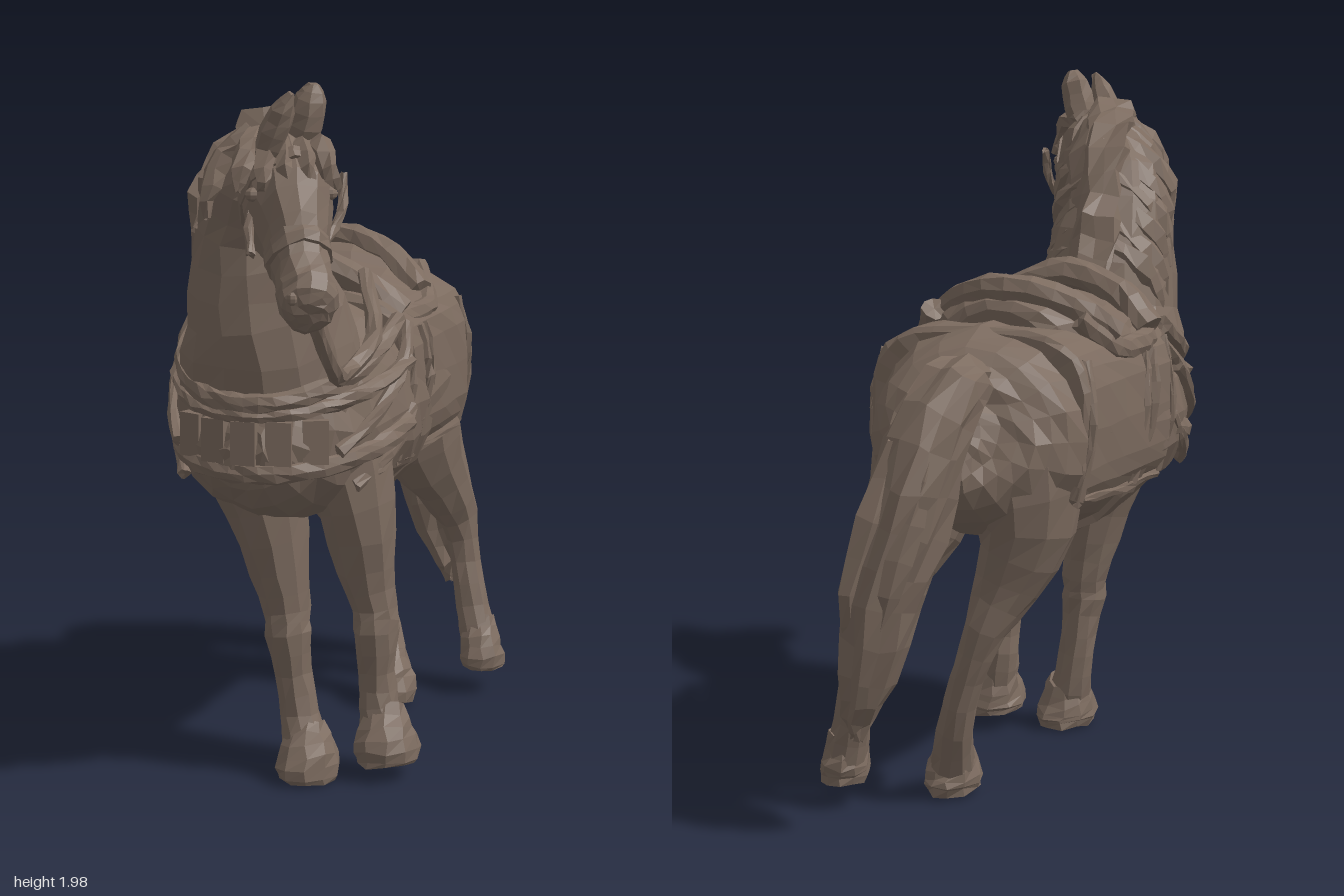
import * as THREE from 'three';

const V = (p) => new THREE.Vector3(...p);
const X = [1, 0, 0], Y = [0, 1, 0];

export function createModel() {
  const model = new THREE.Group();
  const clay = new THREE.MeshStandardMaterial({ color: 0x7c6b5f });
  let seed = 7;
  const rand = () => (seed = (seed * 16807) % 2147483647) / 2147483647 - 0.5;

  function add(name, geometry) {
    const flat = geometry.index ? geometry.toNonIndexed() : geometry;
    flat.computeVertexNormals();
    const mesh = new THREE.Mesh(flat, clay);
    mesh.name = name;
    model.add(mesh);
    return mesh;
  }

  // Closed skin through rings [x, y, z, halfWidth, halfDepth]; width lies along `side`.
  function loft(name, rings, { side = X, sides = 12, step = 2, rough = 0.008, power = 1, ridges = 0 } = {}) {
    const path = new THREE.CatmullRomCurve3(rings.map((r) => V(r.slice(0, 3))));
    const size = new THREE.CatmullRomCurve3(rings.map((r) => new THREE.Vector3(r[3], r[4], 0)));
    const n = (rings.length - 1) * step, pos = [], idx = [];
    const pw = (v) => Math.sign(v) * Math.abs(v) ** power;
    for (let i = 0; i <= n; i++) {
      const c = path.getPoint(i / n), s = size.getPoint(i / n), t = path.getTangent(i / n);
      const S = V(side).addScaledVector(t, -V(side).dot(t)).normalize();
      const U = t.clone().cross(S);
      for (let j = 0; j < sides; j++) {
        const a = (j / sides) * Math.PI * 2;
        const k = 1 + (j % 2 ? -ridges : ridges);
        const p = c.clone().addScaledVector(S, s.x * k * pw(Math.cos(a)) + rand() * rough)
          .addScaledVector(U, s.y * k * pw(Math.sin(a)) + rand() * rough)
          .addScaledVector(t, rand() * rough);
        pos.push(p.x, p.y, p.z);
        const b = i * sides + j, d = i * sides + ((j + 1) % sides);
        if (i < n) idx.push(b, d, d + sides, b, d + sides, b + sides);
      }
    }
    const first = pos.length / 3, last = n * sides;
    pos.push(...path.getPoint(0).toArray(), ...path.getPoint(1).toArray());
    for (let j = 0; j < sides; j++) {
      const k = (j + 1) % sides;
      idx.push(first, k, j, first + 1, last + j, last + k);
    }
    const g = new THREE.BufferGeometry();
    g.setAttribute('position', new THREE.Float32BufferAttribute(pos, 3));
    g.setIndex(idx);
    return add(name, g);
  }
  // Band of constant section along points.
  const band = (name, pts, a, b, side = Y) =>
    loft(name, pts.map((p) => [...p, a, b]), { side, sides: 8, step: 3, rough: 0.009 });
  const ball = (name, p, r, scale) => {
    const m = add(name, new THREE.SphereGeometry(r, 8, 6));
    m.position.set(...p);
    m.scale.set(...scale);
  };

  // Torso, neck and head
  loft('torso', [
    [-.08, 1.1, -.69, .07, .09], [-.065, 1.09, -.665, .17, .16], [-.05, 1.07, -.59, .26, .24],
    [-.045, 1.06, -.45, .32, .29], [-.035, 1.055, -.2, .335, .305], [-.03, 1.035, 0, .34, .33],
    [-.03, 1.04, .2, .335, .31], [-.02, 1.02, .4, .29, .28], [-.02, 1.03, .52, .215, .22],
    [-.02, 1.05, .585, .13, .14], [-.02, 1.06, .605, .05, .06]], { sides: 20, rough: 0.014 });
  loft('neck', [
    [-.03, 1.05, .35, .28, .25], [-.03, 1.25, .4, .245, .24], [-.045, 1.42, .43, .195, .21],
    [-.05, 1.58, .47, .165, .165], [0, 1.72, .54, .14, .15], [.04, 1.83, .6, .08, .08]], { sides: 14, rough: 0.014 });
  const across = [.86, 0, -.5];
  loft('head', [
    [.06, 1.78, .58, .08, .1], [.1, 1.72, .66, .115, .165], [.14, 1.65, .725, .115, .17],
    [.185, 1.58, .8, .09, .125], [.225, 1.51, .865, .074, .088], [.255, 1.46, .905, .08, .09],
    [.272, 1.43, .945, .07, .076], [.28, 1.42, .965, .035, .035]], { side: across, rough: 0.01 });
  loft('noseband', [[.195, 1.56, .82, .09, .115], [.212, 1.53, .845, .086, .105]], { side: across });
  loft('browband', [[.112, 1.7, .68, .125, .18], [.127, 1.675, .7, .125, .182]], { side: across });
  for (const s of [-1, 1]) {
    const at = (d, y, z) => [.165 + s * d * .86, y, z - s * d * .5];
    ball('eye', at(.1, 1.7, .77), .024, [1, .8, 1]);
    ball('nostril', [.28 + s * .04, 1.46, .955 - s * .023], .016, [1, 1.2, 1]);
    band('cheekStrap', [at(.11, 1.74, .68), at(.12, 1.64, .74), at(.09, 1.55, .82)], .012, .014, X);
  }
  const earSide = { side: across, sides: 7, rough: .006 };
  loft('leftEar', [[.15, 1.8, .68, .04, .045], [.175, 1.87, .695, .05, .055], [.195, 1.94, .7, .042, .046], [.205, 1.98, .705, .014, .016]], earSide);
  loft('rightEar', [[.1, 1.79, .8, .03, .035], [.13, 1.86, .81, .04, .042], [.16, 1.92, .82, .033, .034], [.185, 1.965, .83, .01, .011]], earSide);

  // Mane: crest, hanging locks and forelock
  const crest = [[.04, 1.85, .62], [0, 1.83, .53], [-.03, 1.75, .42], [-.05, 1.62, .345], [-.06, 1.5, .275], [-.06, 1.39, .19]];
  loft('maneCrest', crest.map((p, i) => [...p, .075, i === 5 ? .02 : .055]), { sides: 10, rough: .025, ridges: .08 });
  const crestLine = new THREE.CatmullRomCurve3(crest.map(V));
  for (const s of [-1, 1]) for (let i = 0; i < 9; i++) {
    const p = crestLine.getPoint(.02 + i * .095), l = .2 + rand() * .06, w = i < 3 ? .12 : .155;
    loft('maneLock', [
      [p.x + s * .03, p.y, p.z, .03, .035], [p.x + s * w * .85, p.y - l * .35, p.z + .03, .03, .045],
      [p.x + s * w * 1.08, p.y - l * .75, p.z + .07, .026, .04], [p.x + s * w * 1.1, p.y - l * 1.15, p.z + .08, .008, .01]],
    { sides: 6, rough: .014 });
  }
  for (let i = 0; i < 5; i++) {
    const d = (i - 2) * .04;
    loft('forelock', [
      [.09 + d * .5, 1.84, .66 - d * .3, .03, .03], [.14 + d, 1.82, .76 - d * .5, .032, .032],
      [.165 + d * 1.25, 1.765, .82 - d * .7, .026, .026], [.175 + d * 1.4, 1.715, .825 - d * .8, .01, .01]],
    { sides: 6, rough: .014 });
  }

  // Legs, ending at the fetlocks
  loft('rightFrontLeg', [
    [-.09, .95, .4, .15, .15], [-.045, .78, .385, .115, .13], [-.01, .6, .375, .085, .095], [.008, .48, .37, .066, .075],
    [.014, .42, .375, .066, .075], [.028, .3, .365, .052, .06], [.045, .18, .365, .058, .062], [.07, .08, .385, .07, .07]], { sides: 10 });
  loft('leftFrontLeg', [
    [.14, .95, .3, .15, .16], [.19, .78, .295, .11, .13], [.212, .6, .28, .085, .095], [.235, .48, .27, .066, .075],
    [.24, .42, .275, .066, .078], [.242, .3, .27, .054, .06], [.25, .2, .27, .06, .062], [.275, .12, .285, .07, .07]], { sides: 10 });
  loft('rightHindLeg', [
    [-.16, 1, -.44, .17, .21], [-.175, .8, -.43, .13, .17], [-.125, .64, -.46, .088, .105], [-.08, .52, -.505, .06, .07],
    [-.03, .38, -.51, .047, .055], [.025, .22, -.485, .05, .055], [.06, .1, -.43, .06, .065]], { sides: 10 });
  loft('leftHindLeg', [
    [.09, 1, -.47, .17, .2], [.125, .8, -.525, .13, .15], [.175, .66, -.6, .088, .1], [.21, .54, -.66, .06, .07],
    [.235, .4, -.665, .047, .052], [.26, .26, -.65, .05, .052], [.29, .15, -.63, .06, .06]], { sides: 10 });
  // Hooves: sole centre, half width, half length
  const hoof = (name, x, y, z, a, b) => loft(name, [
    [x - .015, y + .15, z - .03, a * .6, b * .5], [x - .008, y + .09, z - .01, a * .85, b * .8],
    [x, y + .035, z, a, b], [x, y, z, a * .85, b * .9]], { sides: 10, rough: .012 });
  hoof('rightFrontHoof', .08, .008, .39, .092, .112);
  hoof('leftFrontHoof', .28, .05, .295, .095, .108);
  hoof('rightHindHoof', .075, .015, -.395, .08, .105);
  hoof('leftHindHoof', .3, .08, -.62, .072, .082);

  // Tail
  loft('tail', [
    [-.09, 1.24, -.61, .07, .06], [-.085, 1.215, -.71, .09, .09], [-.045, 1.07, -.8, .11, .1], [0, .86, -.84, .115, .115],
    [.05, .66, -.86, .1, .115], [.09, .46, -.875, .075, .085], [.12, .34, -.87, .04, .045], [.125, .28, -.87, .01, .012]],
  { sides: 14, rough: .02, ridges: .07 });
  for (const [dx, dz] of [[.07, .05], [-.07, .04], [.05, -.07], [-.05, -.06]])
    loft('tailStrand', [
      [-.05 + dx, 1.1, -.79 + dz, .02, .02], [dx, .9, -.84 + dz, .045, .045],
      [.05 + dx, .7, -.87 + dz, .04, .045], [.08 + dx * .6, .54, -.88 + dz * .6, .01, .01]], { sides: 6, rough: .014 });

  // Saddle blanket with raised trim and straps
  const cx = -.035, cy = 1.085, A = .335, B = .265, power = .58;
  loft('blanket', [.145, .13, -.03, -.2, -.32, -.44, -.455].map((z, i) =>
    [cx, cy, z, A - (i % 6 ? 0 : .015), B - (i % 6 ? 0 : .015)]), { sides: 28, power, step: 1 });
  const skin = (y) => A * (1 - (Math.abs(y - cy) / B) ** (2 / power)) ** (power / 2);
  for (const s of [-1, 1]) {
    const trim = (name, pts, a) => band(name, pts.map(([y, z]) => [cx + s * skin(y), y, z]), a, a, [0, 1, .3]);
    trim('blanketFrontTrim', [[1.27, .12], [1.1, .13], [.88, .13]], .014);
    trim('blanketRearTrim', [[1.27, -.41], [1.1, -.43], [.89, -.44]], .014);
    trim('blanketHem', [[.87, .13], [.87, -.1], [.89, -.44]], .018);
    trim('stirrupStrap', [[1.25, .01], [1.1, -.01], [.87, -.05]], .018);
    trim('flapEdge', [[1.25, -.04], [1.1, -.06], [.87, -.09]], .012);
    // Padded edge of the seat
    const m = (x) => -.045 + s * x;
    band('saddleRoll', [[m(.27), 1.27, .06], [m(.295), 1.27, -.08], [m(.285), 1.28, -.2], [m(.22), 1.37, -.3]], .034, .034);
  }
  loft('girth', [[-.03, 1.03, .01, .335, .338], [-.03, 1.03, -.09, .335, .334]], { sides: 20 });

  // Saddle seat, pommel and cantle
  loft('saddleSeat', [
    [-.05, 1.29, .1, .2, .11], [-.05, 1.28, .02, .26, .115], [-.05, 1.27, -.1, .28, .11],
    [-.055, 1.28, -.22, .27, .12], [-.06, 1.3, -.31, .22, .14], [-.06, 1.29, -.36, .15, .1]], { sides: 14 });
  band('pommel', [[-.33, 1.3, .04], [-.23, 1.39, .07], [-.07, 1.44, .08], [.09, 1.39, .07], [.24, 1.28, .04]], .045, .045);
  band('cantle', [[-.335, 1.32, -.2], [-.24, 1.4, -.28], [-.07, 1.445, -.33], [.1, 1.4, -.28], [.22, 1.31, -.2]], .042, .042);

  // Breast harness wrapped around the chest; straps rise by `lift` towards the shoulders
  const chest = (t, y, lift, out) => {
    const k = (t / 1.4) ** 2, r = 1 - out * k;
    return [-.02 + .34 * r * Math.sin(t), y + lift * k, .1 + .525 * Math.cos(t)];
  };
  const turns = [-1.4, -1.05, -.7, -.35, 0, .35, .7, 1.05, 1.4];
  const wrap = (name, y, lift, out, a) => band(name, turns.map((t) => chest(t, y, lift, out)), a, .024);
  wrap('upperBreastStrap', 1.11, .18, .12, .028);
  wrap('middleBreastStrap', 1.08, .1, .02, .022);
  wrap('lowerBreastStrap', .92, .08, .02, .03);
  for (let i = -2; i <= 2; i++) {
    const plate = add('breastPlate', new THREE.BoxGeometry(.07, .12, .04));
    plate.position.set(...chest(i * .27, 1.005, 0, 0));
    plate.rotation.y = i * .2;
  }
  for (const s of [-1, 1]) {
    const m = (x) => -.025 + s * x;
    band('shoulderStrap', [[m(.23), .97, .51], [m(.3), 1.06, .37], [m(.325), 1.17, .22], [m(.3), 1.27, .12]], .022, .02);
    band('shoulderFold', [[m(.25), .86, .42], [m(.31), .93, .3], [m(.335), 1.04, .15]], .02, .018);
  }

  // Rein
  band('rein', [[.235, 1.46, .85], [.25, 1.34, .79], [.25, 1.23, .68], [.225, 1.185, .53], [.25, 1.26, .34], [.15, 1.4, .11]], .026, .022, [.3, .2, 1]);
  return model;
}
